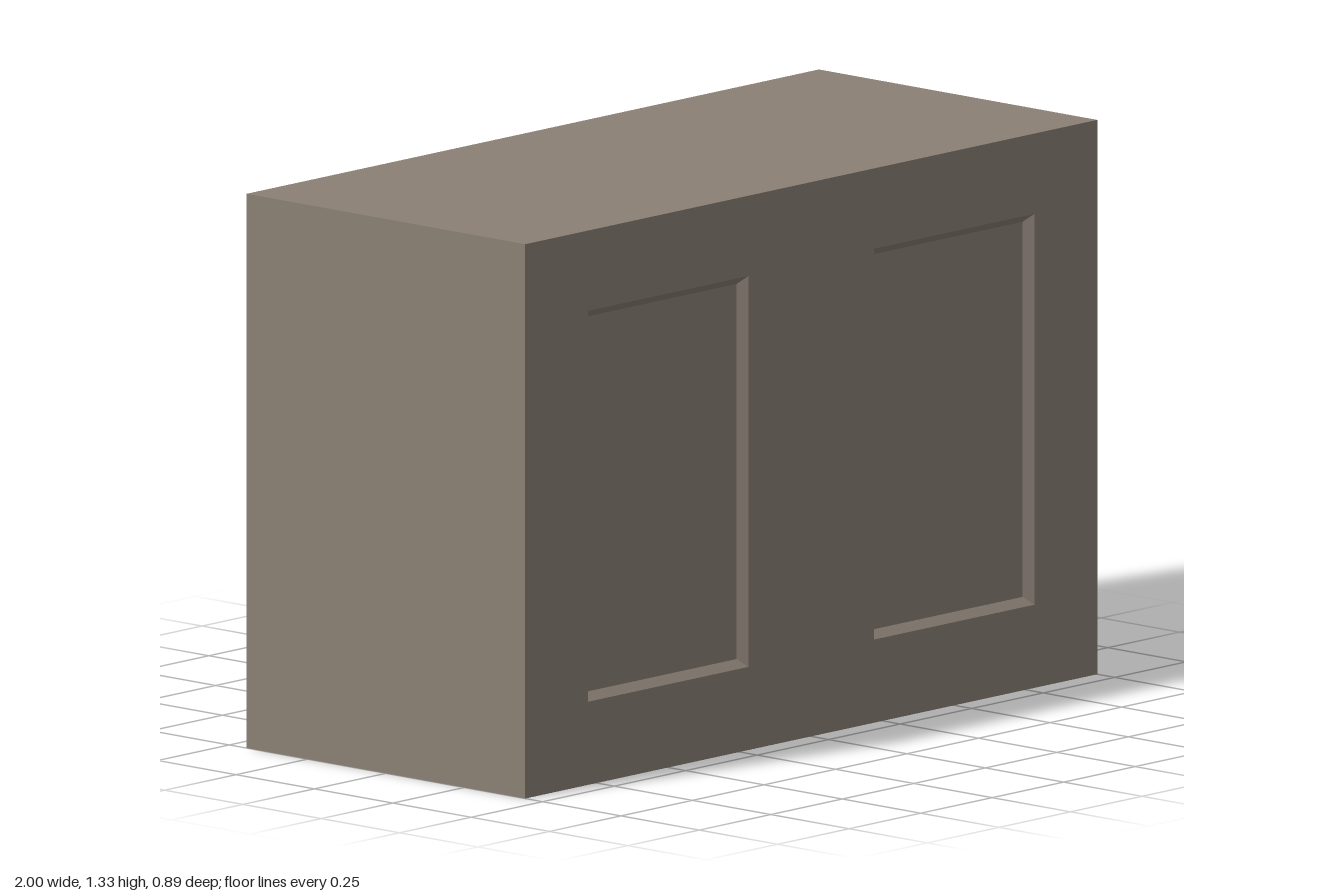
import * as THREE from 'three';

const W = 2, H = 1.333, D = 0.889, FRONT = D / 2;
const PANEL = { w: 0.56, h: 0.94, x: 0.5, y: 0.67 };
const INSET = 0.019, DEPTH = 0.02;

// Counter-clockwise corners of a rectangle seen from the front
function corners(w, h, z) {
  return [[-1, -1], [1, -1], [1, 1], [-1, 1]].map(([sx, sy]) => [sx * w / 2, sy * h / 2, z]);
}

// Sloped border running from the face down to a flat sunken panel
function recessGeometry() {
  const outer = corners(PANEL.w, PANEL.h, 0);
  const inner = corners(PANEL.w - 2 * INSET, PANEL.h - 2 * INSET, -DEPTH);
  const pos = [];
  const quad = (a, b, c, d) => pos.push(...a, ...b, ...c, ...a, ...c, ...d);
  for (let i = 0; i < 4; i++) {
    const j = (i + 1) % 4;
    quad(outer[i], outer[j], inner[j], inner[i]);
  }
  quad(...inner);
  const geo = new THREE.BufferGeometry();
  geo.setAttribute('position', new THREE.Float32BufferAttribute(pos, 3));
  geo.computeVertexNormals();
  return geo;
}

export function createModel() {
  const group = new THREE.Group();
  group.name = 'panelledBlock';
  const material = new THREE.MeshStandardMaterial({ color: 0x8a7f74 });
  const add = (geo, name, x, y, z) => {
    const mesh = new THREE.Mesh(geo, material);
    mesh.name = name;
    mesh.position.set(x, y, z);
    group.add(mesh);
  };

  // Body: a box without its front face
  const body = new THREE.BoxGeometry(W, H, D);
  const index = Array.from(body.index.array);
  index.splice(24, 6);
  body.setIndex(index);
  body.clearGroups();
  add(body, 'body', 0, H / 2, 0);

  // Front face with an opening for each panel
  const face = new THREE.Shape([
    new THREE.Vector2(-W / 2, 0), new THREE.Vector2(W / 2, 0),
    new THREE.Vector2(W / 2, H), new THREE.Vector2(-W / 2, H),
  ]);
  for (const side of [-1, 1]) {
    face.holes.push(new THREE.Path(corners(PANEL.w, PANEL.h, 0)
      .reverse()
      .map(([x, y]) => new THREE.Vector2(x + side * PANEL.x, y + PANEL.y))));
  }
  add(new THREE.ShapeGeometry(face), 'frontFace', 0, 0, FRONT);

  // Sunken panels, mirrored left and right
  const recess = recessGeometry();
  add(recess, 'leftPanel', PANEL.x, PANEL.y, FRONT);
  add(recess, 'rightPanel', -PANEL.x, PANEL.y, FRONT);
  return group;
}
